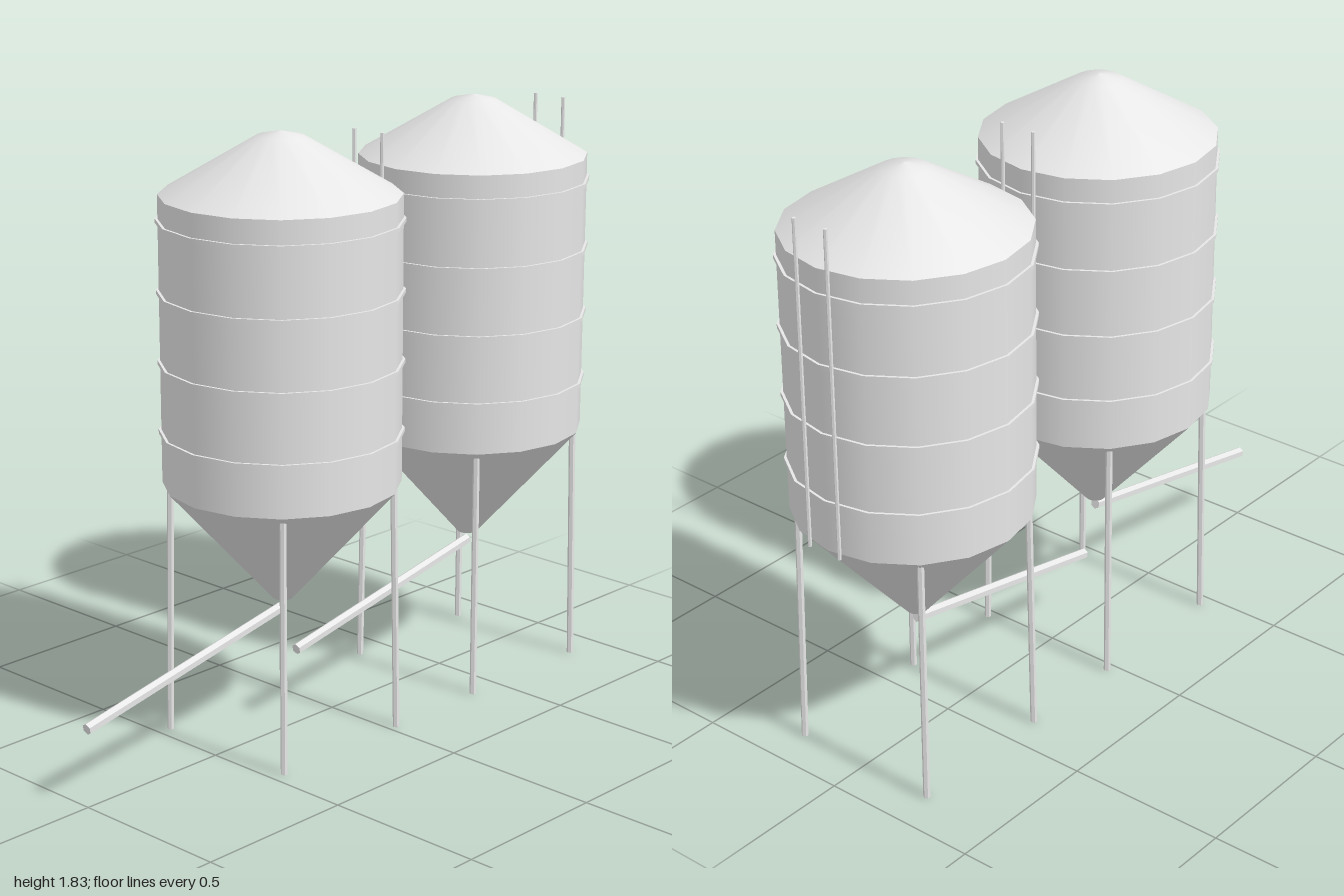
import * as THREE from 'three';

const galvanised = new THREE.MeshStandardMaterial({ color: 0xe6e6e6 });
galvanised.name = 'galvanised';

const SIDES = 16;
const R = 0.353;

function part(name, geometry) {
  const mesh = new THREE.Mesh(geometry, galvanised);
  mesh.name = name;
  return mesh;
}

// Upright frustum between two heights
function frustum(name, rTop, rBottom, yBottom, yTop, open = false) {
  const geo = new THREE.CylinderGeometry(rTop, rBottom, yTop - yBottom, SIDES, 1, open);
  return part(name, geo.translate(0, (yBottom + yTop) / 2, 0));
}

// Straight faceted six-sided bar between two points
function bar(name, from, to, radius) {
  const a = new THREE.Vector3(...from);
  const b = new THREE.Vector3(...to);
  const dir = b.clone().sub(a);
  const geo = new THREE.CylinderGeometry(radius, radius, dir.length(), 6).toNonIndexed();
  geo.computeVertexNormals();
  const mesh = part(name, geo);
  mesh.position.copy(a).add(b).multiplyScalar(0.5);
  mesh.quaternion.setFromUnitVectors(new THREE.Vector3(0, 1, 0), dir.normalize());
  return mesh;
}

function createSilo() {
  const silo = new THREE.Group();
  silo.name = 'silo';

  // Tank: hopper, barrel and a roof that flattens at its peak
  const roofProfile = [[R, 1.65], [0.07, 1.818], [0, 1.833]].map(([r, y]) => new THREE.Vector2(r, y));
  silo.add(
    frustum('hopper', R, 0.03, 0.422, 0.787),
    frustum('barrel', R, R, 0.787, 1.65, true),
    part('roof', new THREE.LatheGeometry(roofProfile, SIDES)),
  );

  // Hoops around the barrel
  for (const y of [0.943, 1.153, 1.363, 1.573]) {
    silo.add(frustum('hoop', 0.361, 0.361, y - 0.006, y + 0.006));
  }

  for (const sx of [-1, 1]) {
    // Slightly splayed legs
    for (const sz of [-1, 1]) {
      silo.add(bar('leg', [sx * 0.242, 0, sz * 0.242], [sx * 0.233, 0.77, sz * 0.233], 0.0105));
    }
    // Ladder rails at the back
    silo.add(bar('ladderRail', [sx * 0.056, 0.787, -0.367], [sx * 0.056, 1.783, -0.367], 0.006));
  }

  // Discharge tube sloping to the front
  silo.add(bar('dischargeTube', [0, 0.394, 0], [0, 0.238, 0.784], 0.017));
  return silo;
}

export function createModel() {
  const model = new THREE.Group();
  model.name = 'siloPair';
  for (const z of [0.213, -0.627]) {
    const silo = createSilo();
    silo.position.z = z;
    model.add(silo);
  }
  return model;
}
